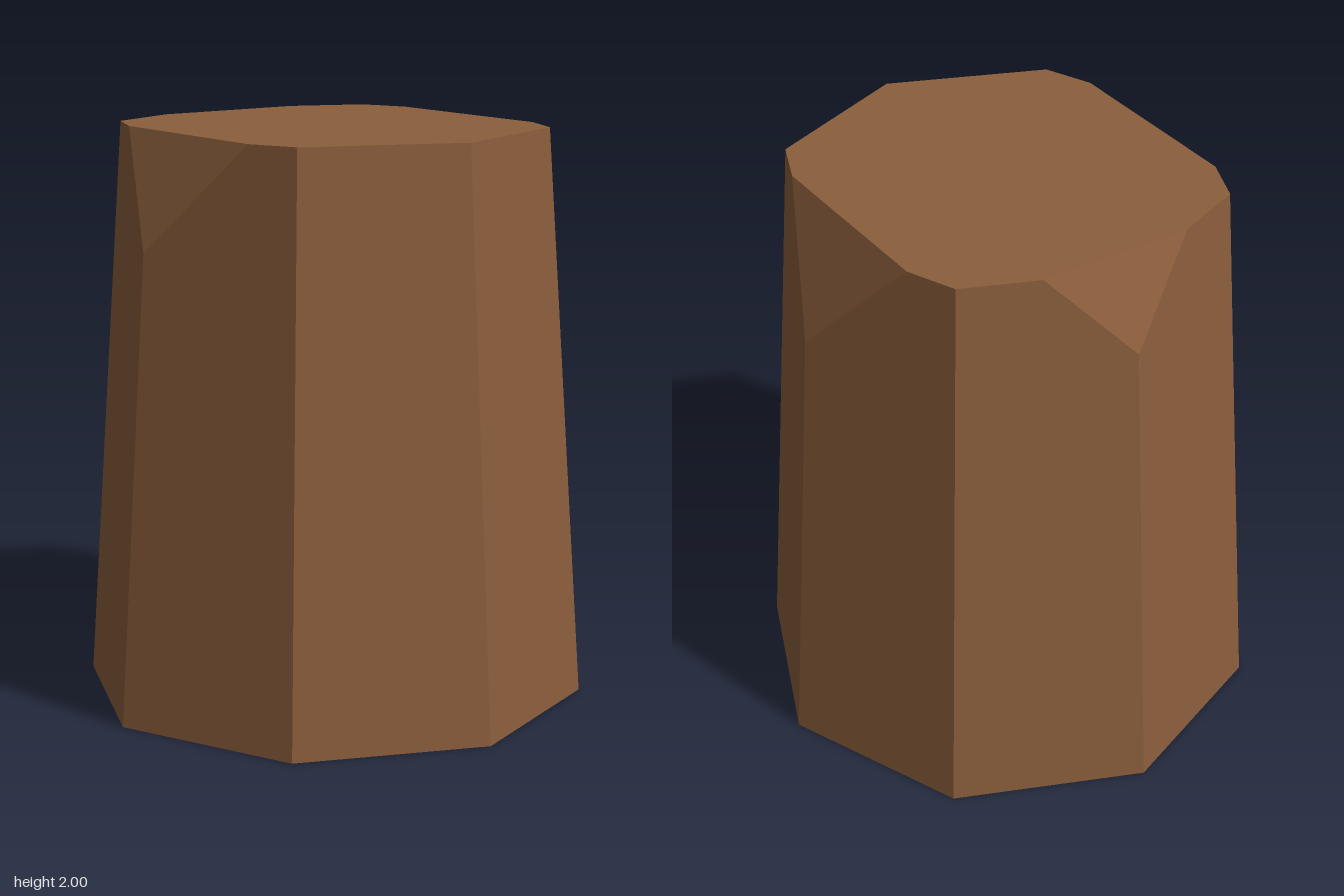
import * as THREE from 'three';

const SIDES = 8, HEIGHT = 2, R_BOTTOM = 0.888, R_TOP = 0.748;

// Chipped corners: where the cut meets the upright edge (y) and how far
// along each neighbouring top edge it reaches (t). Corner 0 is at +z, 6 at -x.
const CUTS = { 0: { y: 1.62, t: 0.68 }, 4: { y: 1.61, t: 0.68 }, 6: { y: 1.7, t: 0.52 } };

// Point on an upright edge of the tapered prism
function corner(i, y) {
  const a = (i / SIDES) * Math.PI * 2;
  const r = THREE.MathUtils.lerp(R_BOTTOM, R_TOP, y / HEIGHT);
  return new THREE.Vector3(Math.sin(a) * r, y, Math.cos(a) * r);
}

// Flat-shaded mesh from convex polygons, each split as a fan
function polygonMesh(name, polygons, material) {
  const points = [];
  for (const p of polygons) {
    for (let k = 1; k < p.length - 1; k++) points.push(p[0], p[k], p[k + 1]);
  }
  const geometry = new THREE.BufferGeometry().setFromPoints(points);
  geometry.computeVertexNormals();
  const mesh = new THREE.Mesh(geometry, material);
  mesh.name = name;
  return mesh;
}

export function createModel() {
  const wood = new THREE.MeshStandardMaterial({
    name: 'brown wood', color: 0x8b5e3c, flatShading: true, side: THREE.DoubleSide,
  });
  const walls = [], chips = [], lid = [];

  // Point on the top rim, from corner i towards corner j
  const rim = (i, j) => corner(i, HEIGHT).lerp(corner(j, HEIGHT), CUTS[i].t);

  for (let i = 0; i < SIDES; i++) {
    const next = (i + 1) % SIDES, prev = (i + SIDES - 1) % SIDES;
    const cut = CUTS[i], cutNext = CUTS[next];

    // Side wall, losing a triangle wherever a corner is chipped
    const wall = [corner(i, 0), corner(next, 0)];
    if (cutNext) wall.push(corner(next, cutNext.y), rim(next, i));
    else wall.push(corner(next, HEIGHT));
    if (cut) wall.push(rim(i, next), corner(i, cut.y));
    else wall.push(corner(i, HEIGHT));
    walls.push(wall);

    // Chip facet and top outline
    if (cut) {
      chips.push([corner(i, cut.y), rim(i, next), rim(i, prev)]);
      lid.push(rim(i, prev), rim(i, next));
    } else lid.push(corner(i, HEIGHT));
  }

  // The underside stays open
  const group = new THREE.Group();
  group.name = 'stump';
  group.add(
    polygonMesh('walls', walls, wood),
    polygonMesh('chippedCorners', chips, wood),
    polygonMesh('top', [lid], wood),
  );
  return group;
}
